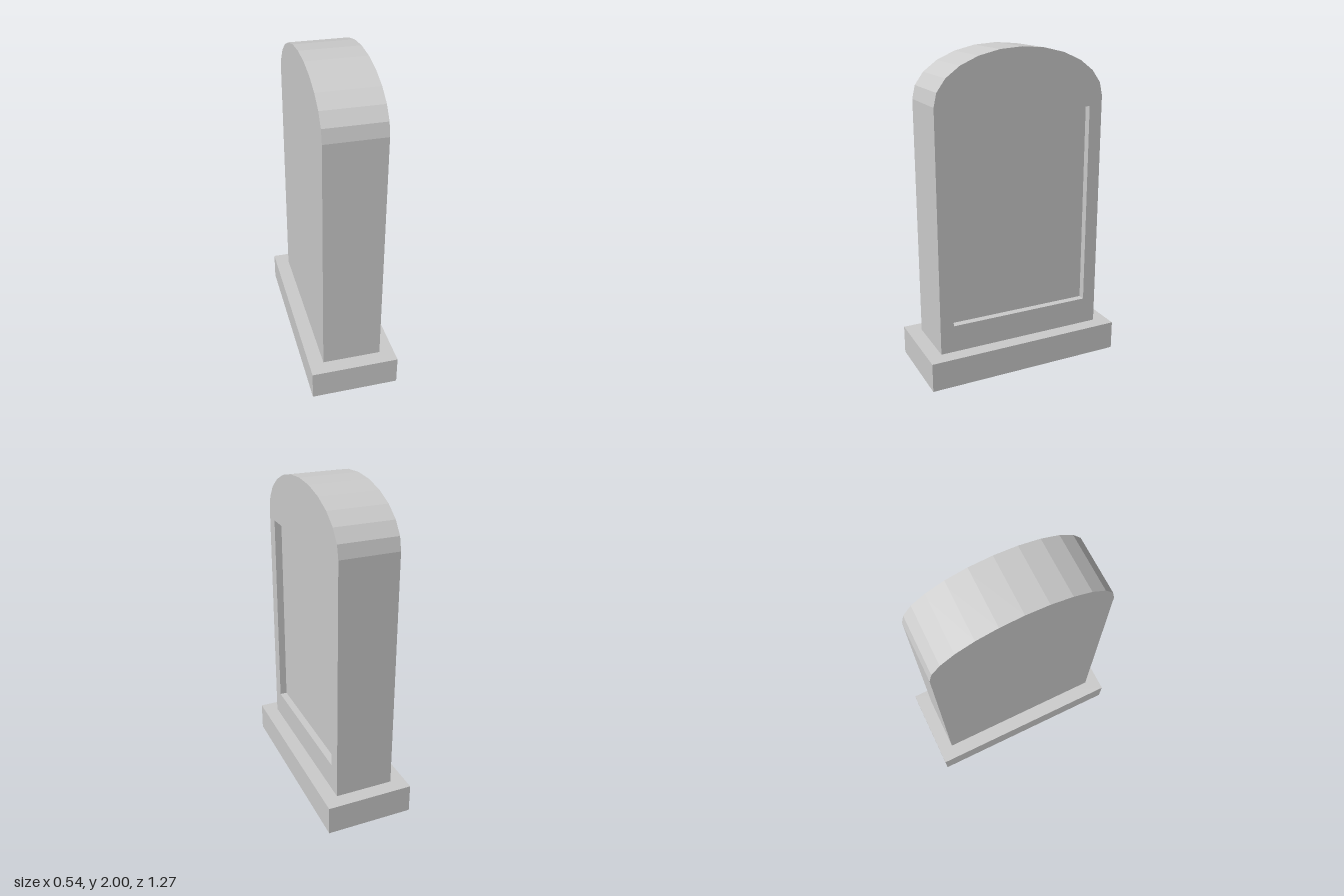
import * as THREE from 'three';

const HALF = 0.543;      // half width of the slab along z
const SPRING = 1.69;     // height where the arched top begins
const BASE_H = 0.183;
const THICK = 0.364;     // slab thickness along x
const RECESS = 0.045;    // depth of the sunken panel

// Slab outline: straight sides and a faceted half-elliptical top
function slabShape() {
  const pts = [new THREE.Vector2(-HALF, BASE_H), new THREE.Vector2(HALF, BASE_H)];
  for (let i = 0; i <= 12; i++) {
    const a = (i / 12) * Math.PI;
    pts.push(new THREE.Vector2(HALF * Math.cos(a), SPRING + (2 - SPRING) * Math.sin(a)));
  }
  return new THREE.Shape(pts);
}

// Extrude an outline along +x, starting at x
function extrudeX(shape, x, depth) {
  const g = new THREE.ExtrudeGeometry(shape, { depth, bevelEnabled: false });
  return g.rotateY(Math.PI / 2).translate(x, 0, 0);
}

export function createModel() {
  const group = new THREE.Group();
  const stone = new THREE.MeshStandardMaterial({ color: 0xcccccc });
  stone.name = 'pale grey stone';

  const add = (name, geometry) => {
    const mesh = new THREE.Mesh(geometry, stone);
    mesh.name = name;
    group.add(mesh);
  };

  // Plinth
  add('plinth', new THREE.BoxGeometry(0.544, BASE_H, 1.268).translate(0, BASE_H / 2, 0));

  // Main slab, whose +x face is the floor of the sunken panel
  add('slab', extrudeX(slabShape(), -THICK / 2, THICK - RECESS));

  // Raised border around the panel
  const border = slabShape();
  border.holes.push(new THREE.Path([
    new THREE.Vector2(-0.458, 0.355), new THREE.Vector2(-0.458, 1.63),
    new THREE.Vector2(0.458, 1.63), new THREE.Vector2(0.458, 0.355),
  ]));
  add('panelBorder', extrudeX(border, THICK / 2 - RECESS, RECESS));

  return group;
}
